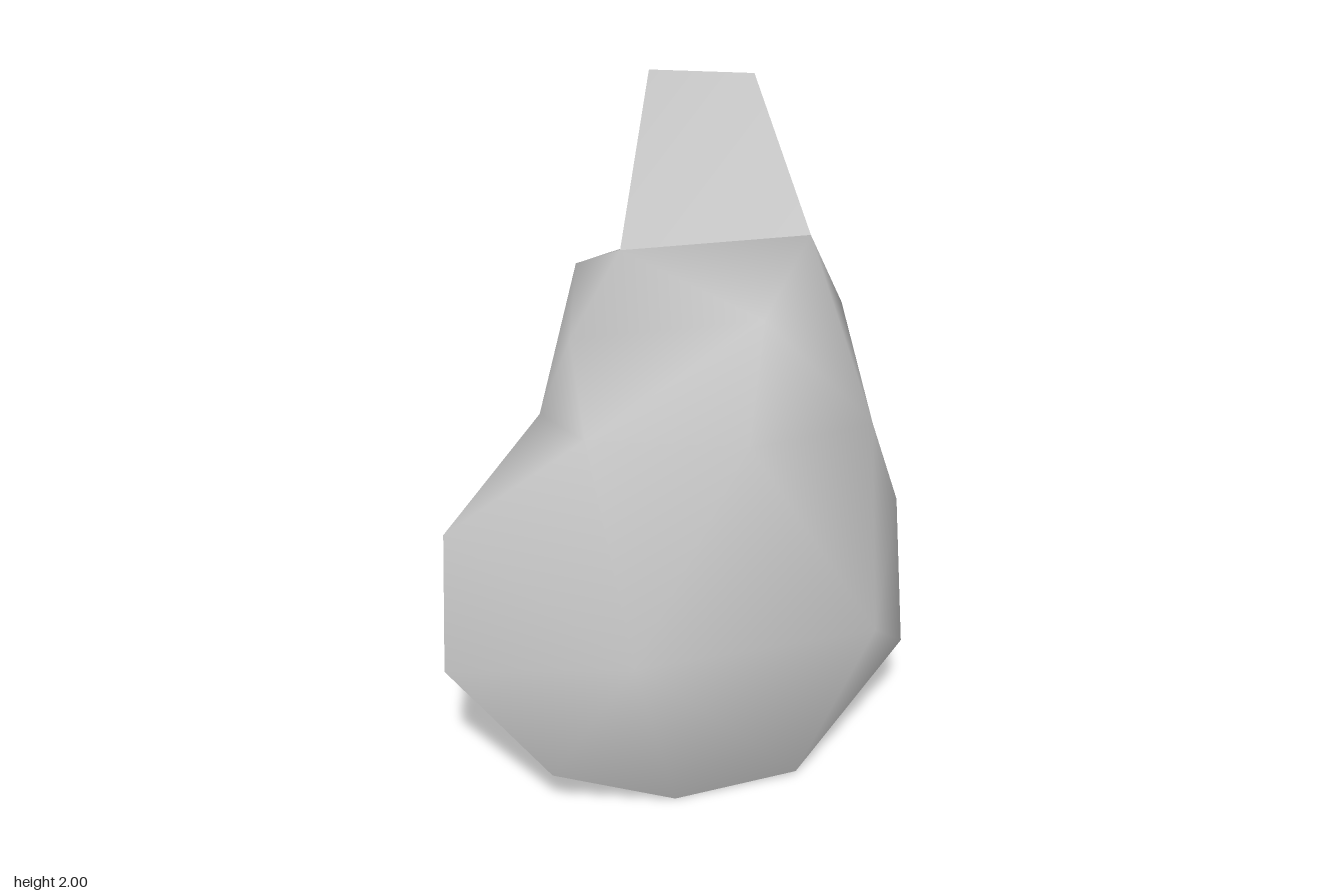
import * as THREE from 'three';

// Rim of the open shell, counter-clockwise from the bottom, seen from the front
const rim = [
  [-0.11, 0, 0.36], [0.28, 0.015, 0.36], [0.70, 0.28, 0.15], [0.75, 0.67, -0.06],
  [0.63, 0.94, -0.13], [0.63, 1.27, -0.29], [0.28, 1.52, -0.48], [-0.18, 1.46, -0.42],
  [-0.36, 1.09, -0.20], [-0.70, 0.81, -0.06], [-0.76, 0.47, 0.15], [-0.49, 0.17, 0.35],
];

// Bulging front: belly, waist, shoulder and the two ends of the stem base
const front = [
  [-0.29, 0.65, 0.55], [0.48, 0.57, 0.46],                      // 12, 13 belly
  [0.16, 1.12, 0.22], [-0.30, 1.15, 0.09], [0.59, 1.06, 0.10],  // 14, 15, 16 waist
  [-0.30, 1.41, -0.05], [0.21, 1.51, 0.19],                     // 17, 18 shoulder
  [-0.11, 1.605, -0.18], [0.48, 1.57, -0.18],                   // 19, 20 stem base
];

// Each fan is a hub point followed by its neighbours in order
const bodyFans = [
  [12, 9, 10, 11, 0, 1, 13, 14, 15, 9],
  [13, 1, 2, 3, 16, 14],
  [16, 3, 4, 5, 20, 18, 14],
  [18, 20, 19, 17, 15, 14],
  [8, 9, 15, 17, 7],
  [7, 17, 19, 6],
  [6, 19, 20, 5],
];

function fanGeometry(points, fans) {
  const index = [];
  for (const [hub, ...ring] of fans) {
    for (let i = 0; i < ring.length - 1; i++) index.push(hub, ring[i], ring[i + 1]);
  }
  const geometry = new THREE.BufferGeometry();
  geometry.setAttribute('position', new THREE.Float32BufferAttribute(points.flat(), 3));
  geometry.setIndex(index);
  geometry.computeVertexNormals();
  return geometry;
}

export function createModel() {
  const group = new THREE.Group();
  group.name = 'pearShell';

  const grey = new THREE.MeshStandardMaterial({ color: 0xbfbfbf, side: THREE.DoubleSide });
  grey.name = 'light grey';

  // Hollow pear body, open at the back
  const body = new THREE.Mesh(fanGeometry([...rim, ...front], bodyFans), grey);
  body.name = 'body';

  // Flat stem leaning backwards from the top
  const stemPoints = [front[7], front[8], [0.425, 1.945, -0.555], [0.09, 2, -0.545]];
  const stem = new THREE.Mesh(fanGeometry(stemPoints, [[0, 1, 2, 3]]), grey);
  stem.name = 'stem';

  group.add(body, stem);
  return group;
}
